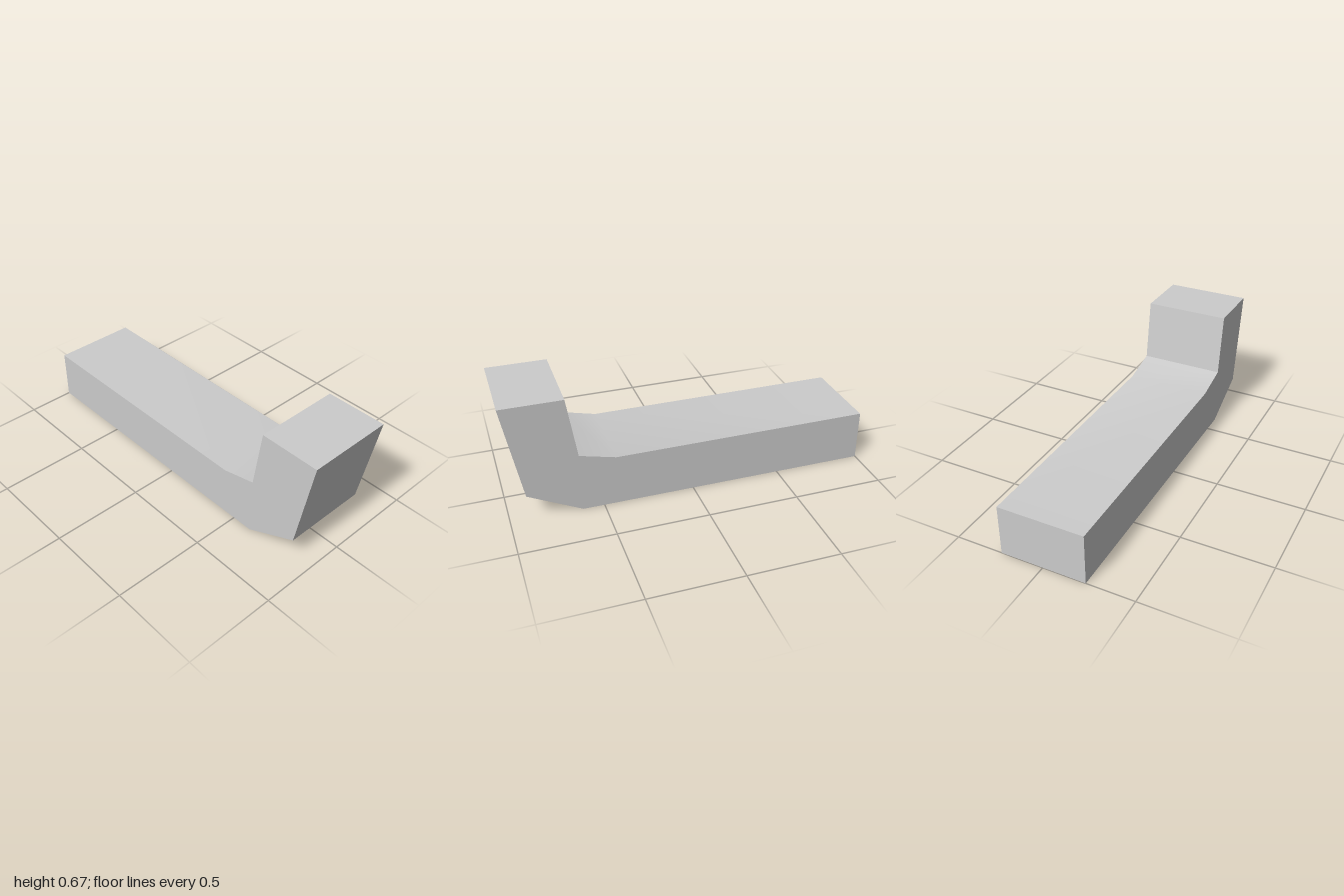
import * as THREE from 'three';
import { toCreasedNormals } from 'three/addons/utils/BufferGeometryUtils.js';

export function createModel() {
  const group = new THREE.Group();
  group.name = 'bentBar';
  const grey = new THREE.MeshStandardMaterial({ color: 0xcccccc });
  grey.name = 'light grey';

  // side profile as [z, y]: upright end at the front, long flat arm to the back
  const profile = [
    [1, 0.667], [0.67, 0.667], [0.62, 0.333], [0.425, 0.285],
    [-1, 0.285], [-1, 0], [0.615, 0], [0.905, 0.145],
  ];
  const shape = new THREE.Shape(profile.map(([z, y]) => new THREE.Vector2(-z, y)));

  // extrude across the width, then turn so the profile runs along z
  const width = 0.476;
  const geometry = new THREE.ExtrudeGeometry(shape, { depth: width, bevelEnabled: false });
  geometry.translate(0, 0, -width / 2);
  geometry.rotateY(Math.PI / 2);
  geometry.clearGroups();

  // shallow bends shade smoothly, the other edges stay sharp
  const bar = new THREE.Mesh(toCreasedNormals(geometry, 0.55), grey);
  bar.name = 'bar';
  group.add(bar);
  return group;
}
